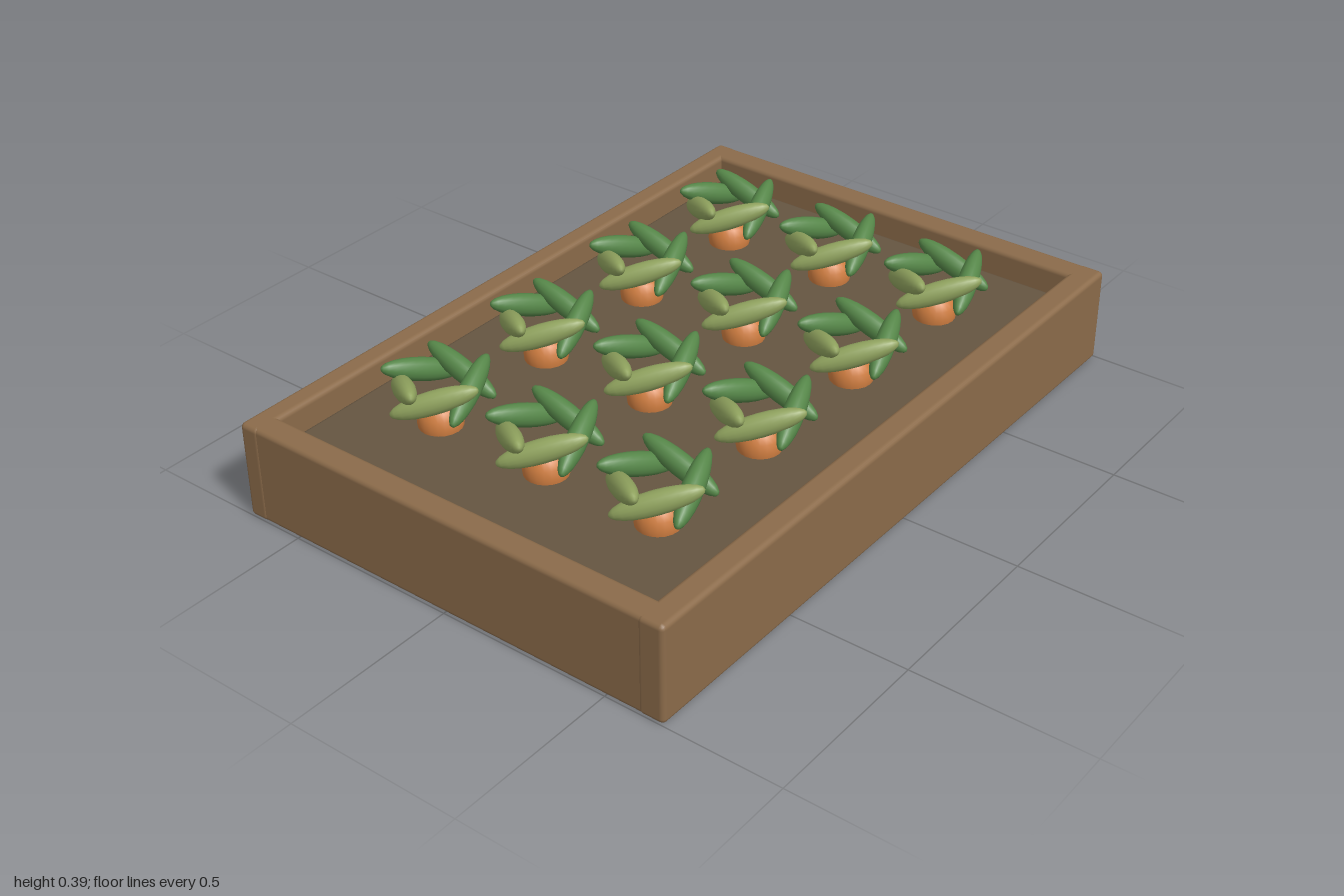
import * as THREE from 'three';
import { RoundedBoxGeometry } from 'three/addons/geometries/RoundedBoxGeometry.js';

const mat = (color) => new THREE.MeshStandardMaterial({ color });

// Rounded box given by its min and max corners
function slab(name, min, max, material, radius = 0.014) {
  const size = max.map((v, i) => v - min[i]);
  const mesh = new THREE.Mesh(new RoundedBoxGeometry(...size, 2, radius), material);
  mesh.position.set(...max.map((v, i) => (v + min[i]) / 2));
  mesh.name = name;
  return mesh;
}

export function createModel() {
  const model = new THREE.Group();
  model.name = 'vegetablePlanter';

  const wood = mat(0x8b6b4a);
  const soil = mat(0x655541);
  const carrot = mat(0xcf7d40);
  const darkLeaf = mat(0x558648);
  const lightLeaf = mat(0x91a45f);

  // Four planks around a slab of soil, with a narrow gap between
  const H = 0.28;
  model.add(
    slab('frontPlank', [-1, 0, 0.596], [1, H, 0.672], wood),
    slab('backPlank', [-1, 0, -0.672], [1, H, -0.608], wood),
    slab('leftPlank', [0.922, 0, -0.67], [0.998, H, 0.67], wood),
    slab('rightPlank', [-0.998, 0, -0.67], [-0.922, H, 0.67], wood),
    slab('soil', [-0.9, 0.025, -0.592], [0.9, 0.22, 0.583], soil),
  );

  // Carrot root: domed shoulder tapering down into the soil
  const rootProfile = [
    [0, 0.06], [0.02, 0.1], [0.045, 0.17], [0.058, 0.21], [0.061, 0.235],
    [0.057, 0.258], [0.046, 0.277], [0.028, 0.29], [0.012, 0.295], [0, 0.296],
  ].map(([x, y]) => new THREE.Vector2(x, y));
  const rootGeometry = new THREE.LatheGeometry(rootProfile, 20);
  const leafGeometry = new THREE.SphereGeometry(1, 16, 12).rotateX(Math.PI / 2).scale(0.028, 0.032, 0.12);

  // Pinwheel of five tilted leaves around each root
  const leafMaterials = [darkLeaf, darkLeaf, lightLeaf, lightLeaf, darkLeaf];
  function plant(x, z) {
    const group = new THREE.Group();
    group.name = 'carrotPlant';
    const root = new THREE.Mesh(rootGeometry, carrot);
    root.name = 'root';
    group.add(root);
    leafMaterials.forEach((material, i) => {
      const pivot = new THREE.Group();
      pivot.name = 'leafPivot';
      pivot.rotation.y = (-i * Math.PI * 2) / 5;
      const leaf = new THREE.Mesh(leafGeometry, material);
      leaf.name = 'leaf';
      leaf.position.set(0.087, 0.34, 0);
      leaf.rotation.x = 0.34;
      pivot.add(leaf);
      group.add(pivot);
    });
    group.position.set(x, 0, z);
    return group;
  }

  // Three rows of four plants
  for (const z of [-0.333, 0.02, 0.37])
    for (let i = 0; i < 4; i++) model.add(plant(-0.633 + i * 0.409, z));

  return model;
}
